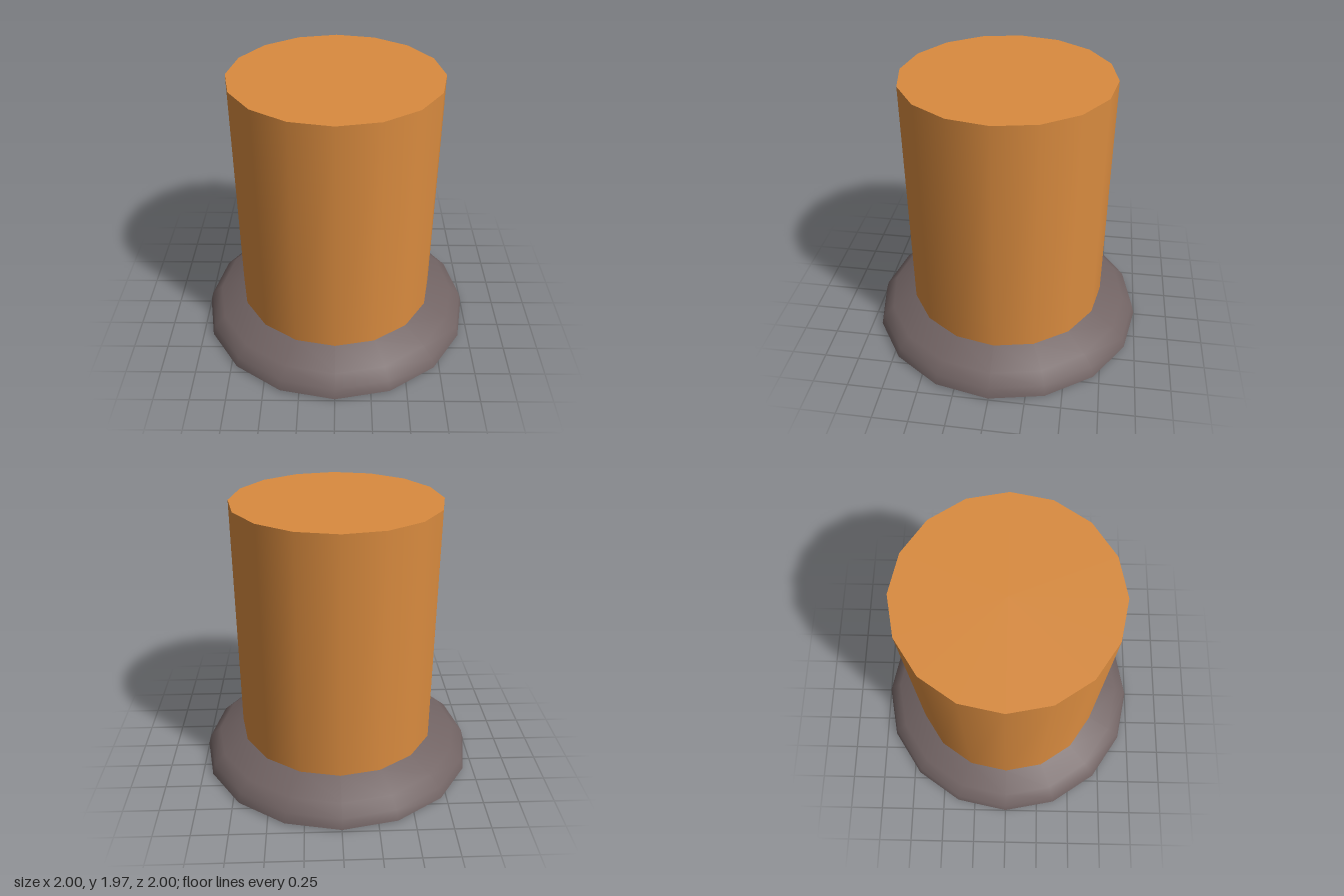
import * as THREE from 'three';

const SIDES = 16;

export function createModel() {
  const group = new THREE.Group();
  const orange = new THREE.MeshStandardMaterial({ color: 0xd98b3f });
  orange.name = 'orange';
  const grey = new THREE.MeshStandardMaterial({ color: 0x716363 });
  grey.name = 'warm grey';

  const add = (name, geometry, material, parent = group) => {
    const mesh = new THREE.Mesh(geometry, material);
    mesh.name = name;
    parent.add(mesh);
    return mesh;
  };
  const lathe = (points) =>
    new THREE.LatheGeometry(points.map(([r, y]) => new THREE.Vector2(r, y)), SIDES);

  // Upright drum
  const bottom = 0.24, top = 1.965;
  const drum = add('drum', new THREE.CylinderGeometry(0.72, 0.72, top - bottom, SIDES), orange);
  drum.position.y = (top + bottom) / 2;

  // Flared base: separate profiles keep the lip and the recess crisp
  const base = new THREE.Group();
  base.name = 'flaredBase';
  group.add(base);
  add('outerFlare', lathe([[1, 0.015], [0.98, 0.09], [0.9, 0.16], [0.72, 0.24]]), grey, base);
  add('lip', lathe([[0.93, 0], [0.96, 0], [1, 0.015]]), grey, base);
  add('innerFlare', lathe([[0.78, 0.17], [0.89, 0.1], [0.93, 0]]), grey, base);

  // Recessed underside
  const underside = add('underside', new THREE.CircleGeometry(0.78, SIDES), grey, base);
  underside.rotation.x = Math.PI / 2;
  underside.position.y = 0.17;

  return group;
}
